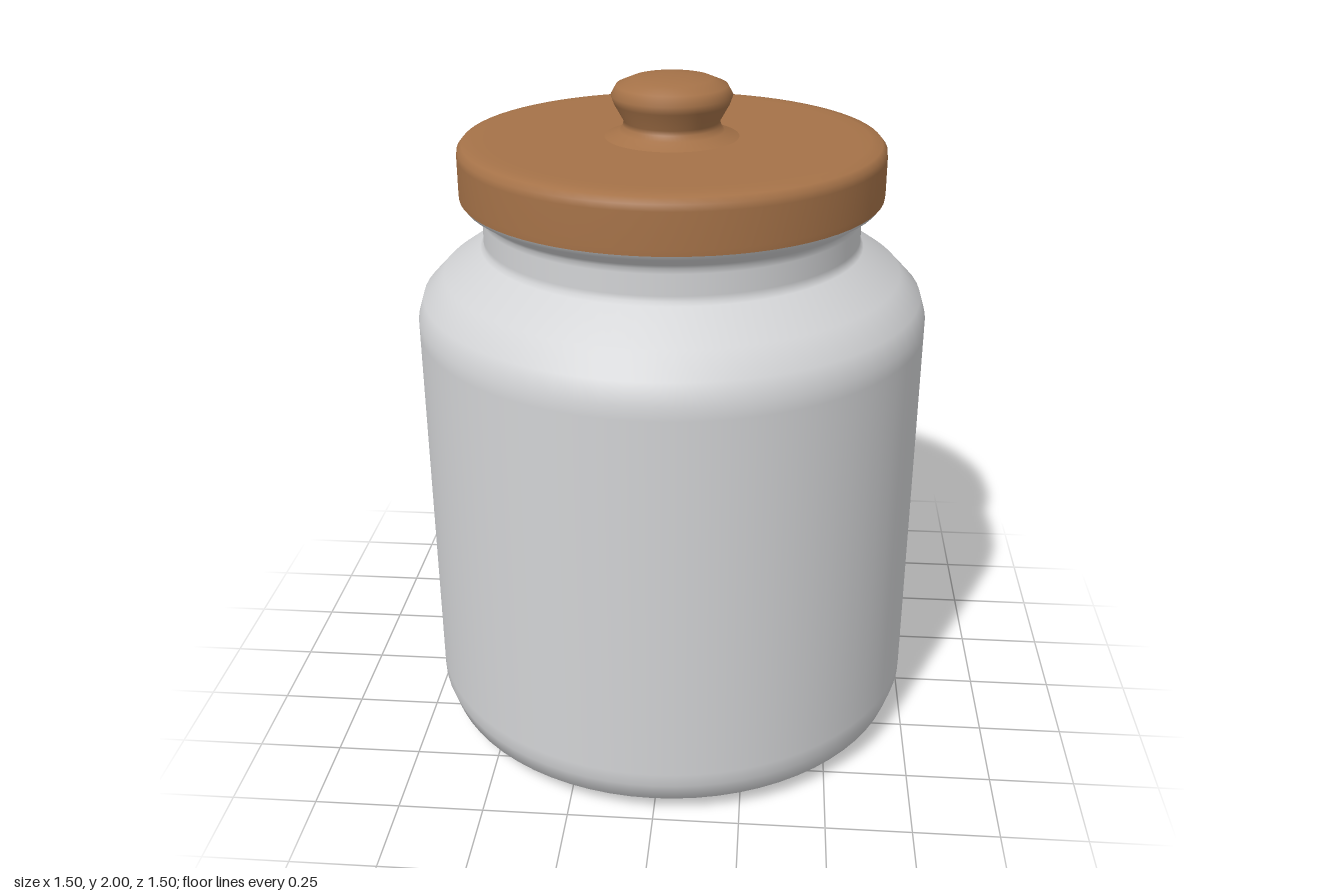
import * as THREE from 'three';

const SEGMENTS = 72;

// Revolve a profile of [radius, height] pairs, listed from bottom to top
function turned(name, profile, material) {
  const points = profile.map(([r, y]) => new THREE.Vector2(r, y));
  const mesh = new THREE.Mesh(new THREE.LatheGeometry(points, SEGMENTS), material);
  mesh.name = name;
  return mesh;
}

export function createModel() {
  const ceramic = new THREE.MeshStandardMaterial({ color: 0xd2d3d5 });
  ceramic.name = 'pale grey ceramic';
  const wood = new THREE.MeshStandardMaterial({ color: 0xa57248 });
  wood.name = 'brown wood';

  const group = new THREE.Group();
  group.name = 'lidded jar';

  // Round-shouldered jar with a narrow neck and a flared rim
  group.add(turned('jarBody', [
    [0, 0], [0.56, 0], [0.59, 0.003], [0.675, 0.02], [0.73, 0.06], [0.75, 0.12],
    [0.75, 0.16], [0.75, 1.28], [0.75, 1.32], [0.732, 1.38], [0.67, 1.445],
    [0.56, 1.52], [0.55, 1.53], [0.55, 1.545], [0.55, 1.605], [0.55, 1.62],
    [0.56, 1.632], [0.602, 1.66], [0.61, 1.673],
  ], ceramic));

  // Rim face that carries the lid
  group.add(turned('jarRim', [[0.61, 1.673], [0, 1.673]], ceramic));

  // Flat lid with a softened upper edge
  group.add(turned('lid', [
    [0.612, 1.673], [0.613, 1.69], [0.613, 1.79], [0.611, 1.808],
    [0.598, 1.823], [0.565, 1.829], [0.52, 1.83], [0, 1.83],
  ], wood));

  // Turned knob on a flared foot
  group.add(turned('lidKnob', [
    [0.195, 1.829], [0.15, 1.847], [0.14, 1.862], [0.137, 1.875], [0.165, 1.925],
    [0.173, 1.948], [0.158, 1.975], [0.115, 1.993], [0.05, 2], [0, 2],
  ], wood));

  return group;
}
